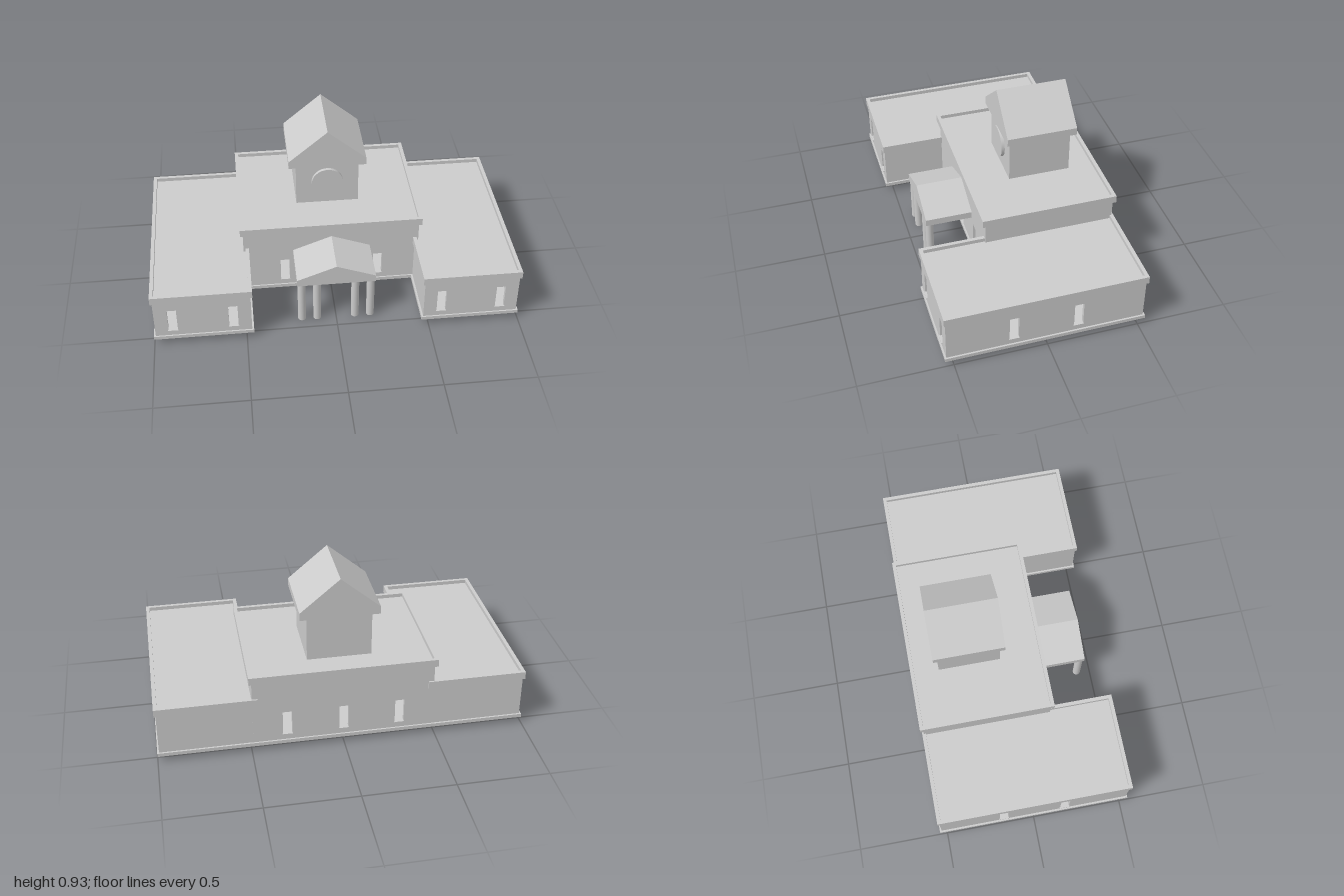
import * as THREE from 'three';

const grey = new THREE.MeshStandardMaterial({ color: 0xcccccc, side: THREE.DoubleSide });
const T = 0.02; // wall and parapet thickness
const WIN = { w: 0.05, y0: 0.09, y1: 0.228 };

function add(parent, name, geometry) {
  const mesh = new THREE.Mesh(geometry, grey);
  mesh.name = name;
  parent.add(mesh);
  return mesh;
}

// Box given by its limits on each axis
function block(parent, name, x0, x1, y0, y1, z0, z1) {
  const mesh = add(parent, name, new THREE.BoxGeometry(x1 - x0, y1 - y0, z1 - z0));
  mesh.position.set((x0 + x1) / 2, (y0 + y1) / 2, (z0 + z1) / 2);
  return mesh;
}

function rectPoints(u0, u1, v0, v1) {
  return [[u0, v0], [u1, v0], [u1, v1], [u0, v1]].map(([u, v]) => new THREE.Vector2(u, v));
}

function extrude(shape, depth) {
  return new THREE.ExtrudeGeometry(shape, { depth, bevelEnabled: false });
}

// Flat wall with rectangular openings cut right through
function wallGeometry(u0, u1, y0, y1, openings) {
  const shape = new THREE.Shape(rectPoints(u0, u1, y0, y1));
  for (const o of openings) {
    shape.holes.push(new THREE.Path(rectPoints(o.c - o.w / 2, o.c + o.w / 2, o.y0, o.y1)));
  }
  return extrude(shape, T);
}

const windowAt = (c) => ({ c, sill: true, ...WIN });

// Four hollow walls with window sills
function walls(parent, [x0, x1], [y0, y1], [z0, z1], { front = [], back = [], left = [], right = [] }) {
  add(parent, 'frontWall', wallGeometry(x0, x1, y0, y1, front)).position.z = z1 - T;
  add(parent, 'backWall', wallGeometry(x0, x1, y0, y1, back)).position.z = z0;
  for (const [name, x, list] of [['leftWall', x1, left], ['rightWall', x0 + T, right]]) {
    const side = add(parent, name, wallGeometry(z0 + T, z1 - T, y0, y1, list));
    side.rotation.y = -Math.PI / 2;
    side.position.x = x;
  }
  const s = 0.007, half = 0.028, a = WIN.y0 - 0.005, b = WIN.y0;
  for (const o of front) if (o.sill) block(parent, 'sill', o.c - half, o.c + half, a, b, z1 - T, z1 + s);
  for (const o of back) if (o.sill) block(parent, 'sill', o.c - half, o.c + half, a, b, z0 - s, z0 + T);
  for (const o of left) block(parent, 'sill', x1 - T, x1 + s, a, b, o.c - half, o.c + half);
  for (const o of right) block(parent, 'sill', x0 - s, x0 + T, a, b, o.c - half, o.c + half);
}

// Raised rim around a sunken flat roof
function flatRoof(parent, [x0, x1], [y0, y1], [z0, z1]) {
  const rim = new THREE.Shape(rectPoints(x0, x1, -z1, -z0));
  rim.holes.push(new THREE.Path(rectPoints(x0 + T, x1 - T, -z1 + T, -z0 - T)));
  const parapet = add(parent, 'parapet', extrude(rim, y1 - y0).rotateX(-Math.PI / 2));
  parapet.position.y = y0;
  block(parent, 'roofDeck', x0 + T, x1 - T, y0, (y0 + y1) / 2, z0 + T, z1 - T);
}

// Solid pitched roof with a short vertical eave
function gable(parent, name, half, y0, eave, apex, z0, z1) {
  const shape = new THREE.Shape([[-half, y0], [half, y0], [half, eave], [0, apex], [-half, eave]]
    .map(([x, y]) => new THREE.Vector2(x, y)));
  add(parent, name, extrude(shape, z1 - z0)).position.z = z0;
}

export function createModel() {
  const model = new THREE.Group();
  model.name = 'townHall';
  const group = (name) => {
    const g = new THREE.Group();
    g.name = name;
    model.add(g);
    return g;
  };

  // U-shaped base slab
  const plan = [[-1, -0.54], [1, -0.54], [1, 0.545], [0.46, 0.545], [0.46, 0.195],
    [-0.46, 0.195], [-0.46, 0.545], [-1, 0.545]];
  const slab = new THREE.Shape(plan.map(([x, z]) => new THREE.Vector2(x, -z)));
  add(model, 'baseSlab', extrude(slab, 0.02).rotateX(-Math.PI / 2)).position.y = 0.033;

  // Wings, mirrored about the middle
  for (const s of [1, -1]) {
    const wing = group(s > 0 ? 'leftWing' : 'rightWing');
    const span = (a, b) => [a * s, b * s].sort((p, q) => p - q);
    const sideWindows = [windowAt(0.178), windowAt(-0.17)];
    walls(wing, span(0.47, 0.99), [0.05, 0.289], [-0.53, 0.537], {
      front: [windowAt(0.567 * s), windowAt(0.893 * s)],
      [s > 0 ? 'left' : 'right']: sideWindows,
    });
    flatRoof(wing, span(0.46, 1), [0.287, 0.33], [-0.54, 0.545]);
  }

  // Central hall with a doorway
  const hall = group('centralHall');
  walls(hall, [-0.49, 0.49], [0.05, 0.43], [-0.531, 0.187], {
    front: [windowAt(-0.262), windowAt(0.262), { c: 0, w: 0.06, y0: 0.054, y1: 0.138 }],
    back: [windowAt(-0.305), windowAt(0), windowAt(0.305)],
  });
  flatRoof(hall, [-0.505, 0.505], [0.428, 0.47], [-0.545, 0.204]);

  // Clock tower
  const tower = group('clockTower');
  block(tower, 'towerBody', -0.175, 0.175, 0.44, 0.71, -0.387, -0.041);
  gable(tower, 'towerRoof', 0.215, 0.705, 0.748, 0.93, -0.41, -0.018);
  const dial = add(tower, 'clockFace', new THREE.CylinderGeometry(0.088, 0.088, 0.018, 32).rotateX(Math.PI / 2));
  dial.position.set(0, 0.59, -0.032);

  // Entrance porch
  const porch = group('porch');
  gable(porch, 'porchRoof', 0.215, 0.256, 0.295, 0.377, 0.18, 0.447);
  for (const x of [-0.19, -0.105, 0.105, 0.19]) {
    const column = add(porch, 'column', new THREE.CylinderGeometry(0.022, 0.022, 0.26, 20));
    column.position.set(x, 0.13, 0.424);
  }
  return model;
}
